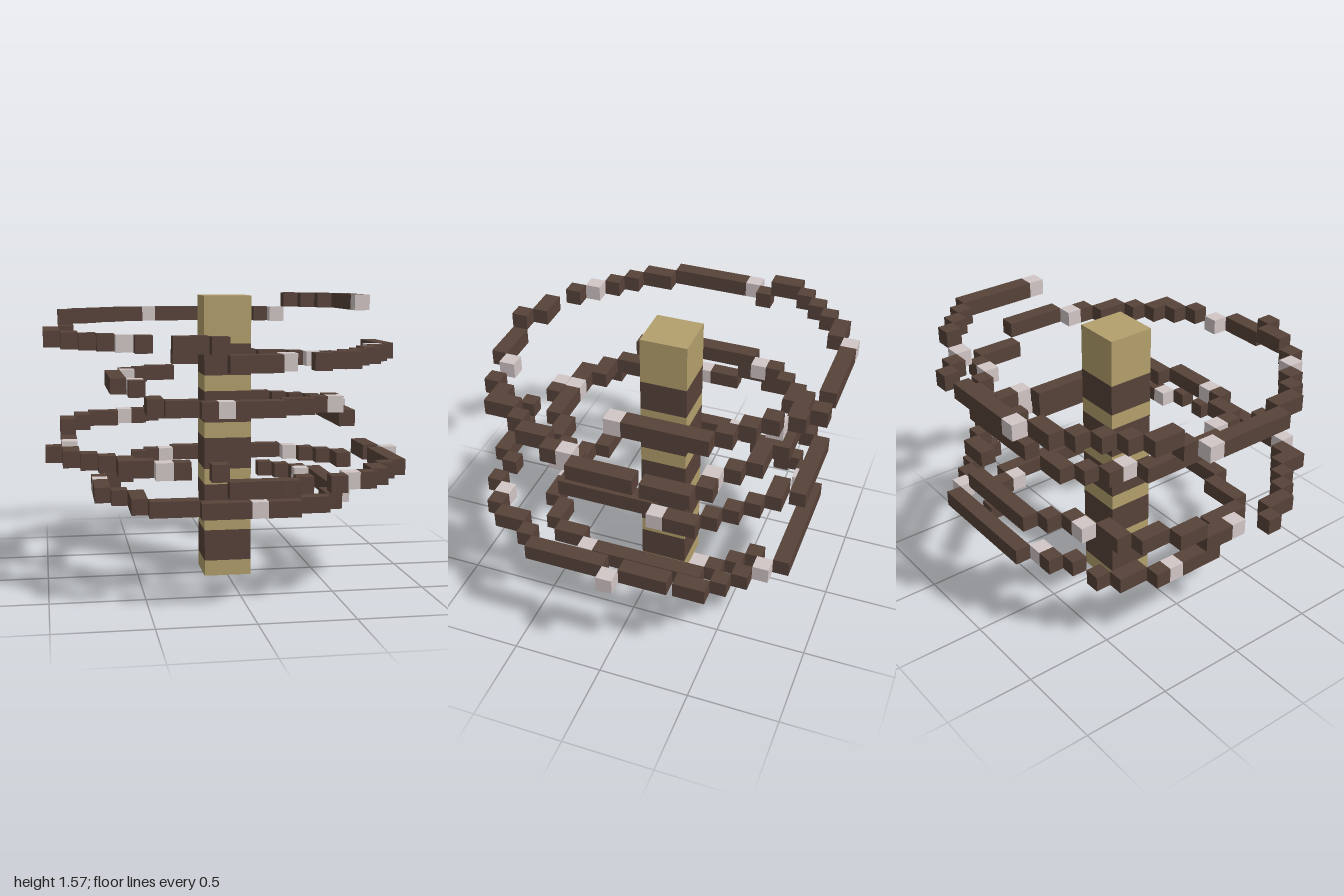
import * as THREE from 'three';
import { mergeGeometries } from 'three/addons/utils/BufferGeometryUtils.js';

const U = 2 / 23; // edge of one cube

// Ribbon runs, from the top down: [layer, [column, row] corner points...].
// Points are joined by diagonal, then straight steps; breaks between runs are gaps.
const UPPER_TURN = [
  [17, [20, 10], [20, 5], [17, 2]],
  [16, [16, 2], [14, 0]],
  [16, [12, 0], [7, 0], [6, 1], [5, 1], [1, 5], [1, 6]],
  [15, [1, 7], [0, 8], [0, 13], [1, 14], [1, 15], [5, 19]],
  [15, [7, 20], [8, 20], [9, 21]],
  [14, [10, 21], [12, 21], [13, 20]],
  [14, [15, 20], [16, 19], [17, 19], [17, 18], [19, 16], [19, 15], [20, 14], [20, 13], [21, 12], [21, 9]],
];
const MIDDLE_TURN = [
  [13, [20, 8], [20, 6], [19, 5], [18, 5], [16, 3], [15, 3], [14, 2], [9, 2]],
  [12, [8, 3], [7, 3], [5, 5], [5, 6], [4, 7], [4, 12], [5, 13], [5, 14]],
  [11, [6, 14], [6, 15], [7, 16], [8, 16], [9, 17], [13, 17], [14, 16], [15, 16], [16, 15], [17, 15], [17, 14]],
  [10, [18, 14], [18, 9], [19, 8], [19, 6], [18, 5], [16, 3], [15, 2], [14, 2]],
];
const LOWER_TURN = [
  [9, [13, 1], [8, 1], [6, 3], [5, 3], [4, 4], [3, 4], [2, 5], [2, 6], [1, 7], [1, 8]],
  [8, [1, 9], [1, 11]],
  [8, [0, 13], [1, 14], [1, 15], [4, 18], [4, 19], [5, 19], [6, 20], [7, 20]],
  [8, [9, 21], [9, 21]],
  [7, [10, 21], [13, 21], [14, 20]],
  [7, [16, 20], [17, 19], [18, 19], [19, 18], [19, 17], [21, 15], [21, 11], [22, 10], [21, 9], [21, 7]],
];
const BASE_TURN = [
  [6, [20, 6], [20, 5], [16, 1], [9, 1], [8, 2], [7, 2], [6, 3]],
  [5, [5, 4], [4, 5], [4, 6], [3, 7], [3, 11], [5, 13], [5, 15], [7, 16], [8, 16], [9, 17], [14, 17],
    [15, 16], [16, 16], [17, 15], [17, 14], [18, 13], [18, 6], [17, 6], [17, 5], [15, 3]],
];

// Pale cubes set along the ribbon: layer, column, row
const PALE = new Set([
  '17,20,10', '16,16,2', '16,7,0', '15,0,8', '15,4,18', '14,13,20', '14,20,13', '13,18,5',
  '12,5,6', '12,5,13', '11,10,17', '11,17,15', '10,19,8', '9,5,3', '8,1,11', '8,6,20',
  '7,17,19', '7,22,10', '6,17,2', '6,8,2', '5,3,8', '5,12,17', '5,18,13', '5,17,6',
]);

// Cells along one run
function cellsOf([layer, ...points]) {
  let [c, r] = points[0];
  const cells = [[layer, c, r]];
  for (const [tc, tr] of points.slice(1)) {
    while (c !== tc || r !== tr) {
      c += Math.sign(tc - c);
      r += Math.sign(tr - r);
      cells.push([layer, c, r]);
    }
  }
  return cells;
}

const cube = ([k, c, r]) =>
  new THREE.BoxGeometry(U, U, U).translate((c - 11) * U, (k + 0.5) * U, (r - 10.5) * U);

export function createModel() {
  const model = new THREE.Group();
  const material = (name, color) => {
    const m = new THREE.MeshStandardMaterial({ color });
    m.name = name;
    return m;
  };
  const brown = material('darkBrown', 0x574239);
  const gold = material('dullGold', 0xb4a06c);
  const pale = material('paleGrey', 0xd2c6c6);

  const add = (name, geometry, mat, parent = model) => {
    const mesh = new THREE.Mesh(geometry, mat);
    mesh.name = name;
    parent.add(mesh);
  };

  // Banded square pillar: [first layer, layer count]
  const pillar = new THREE.Group();
  pillar.name = 'pillar';
  model.add(pillar);
  const band = (name, start, count, mat) =>
    add(name, new THREE.BoxGeometry(3 * U, count * U, 3 * U)
      .translate(0, (start + count / 2) * U, -U / 2), mat, pillar);
  for (let k = 0; k < 15; k += 3) {
    band('goldBand', k, 1, gold);
    band('brownBand', k + 1, 2, brown);
  }
  band('pillarTop', 15, 3, gold);

  // Stepped spiral ribbon with pale cubes
  const turns = { upperTurn: UPPER_TURN, middleTurn: MIDDLE_TURN, lowerTurn: LOWER_TURN, baseTurn: BASE_TURN };
  for (const [name, runs] of Object.entries(turns)) {
    const group = new THREE.Group();
    group.name = name;
    model.add(group);
    const cells = runs.flatMap(cellsOf);
    const isPale = (cell) => PALE.has(cell.join());
    add('ribbon', mergeGeometries(cells.filter((c) => !isPale(c)).map(cube)), brown, group);
    add('paleCubes', mergeGeometries(cells.filter(isPale).map(cube)), pale, group);
  }
  return model;
}
